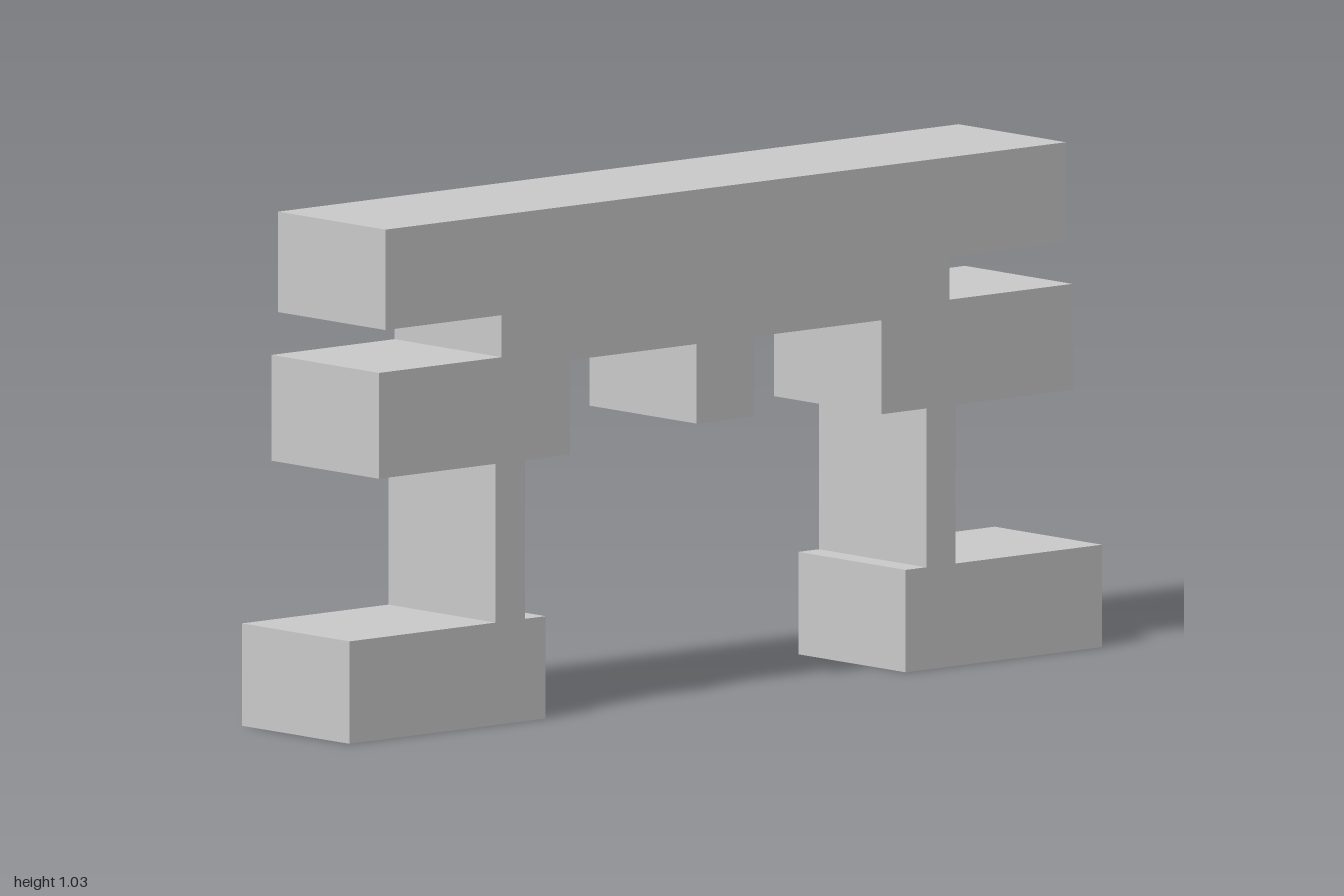
import * as THREE from 'three';

const DEPTH = 0.326;

// Left half of the outline, from the top bar down to the foot and back to the centre peg
const HALF = [
  [0.904, 1.03], [0.904, 0.827],                  // top bar end
  [0.595, 0.827], [0.595, 0.742],                 // side slot
  [0.921, 0.742], [0.921, 0.528],                 // shoulder block
  [0.611, 0.528], [0.611, 0.207],                 // post, outer side
  [1, 0.207], [1, 0], [0.478, 0], [0.478, 0.207], // foot
  [0.533, 0.207], [0.533, 0.528],                 // post, inner side
  [0.414, 0.528], [0.414, 0.718],                 // arch
  [0.077, 0.718], [0.077, 0.557],                 // centre peg
];

export function createModel() {
  const group = new THREE.Group();
  group.name = 'bridgeFrame';

  // Mirror the half outline to close the symmetric profile
  const mirrored = HALF.map(([x, y]) => [-x, y]).reverse();
  const outline = [...HALF, ...mirrored].map(([x, y]) => new THREE.Vector2(x, y));

  const geometry = new THREE.ExtrudeGeometry(new THREE.Shape(outline), {
    depth: DEPTH,
    bevelEnabled: false,
  });
  geometry.translate(0, 0, -DEPTH / 2);

  const material = new THREE.MeshStandardMaterial({ color: 0xcccccc, flatShading: true });
  const frame = new THREE.Mesh(geometry, material);
  frame.name = 'steppedArchFrame';
  group.add(frame);
  return group;
}
